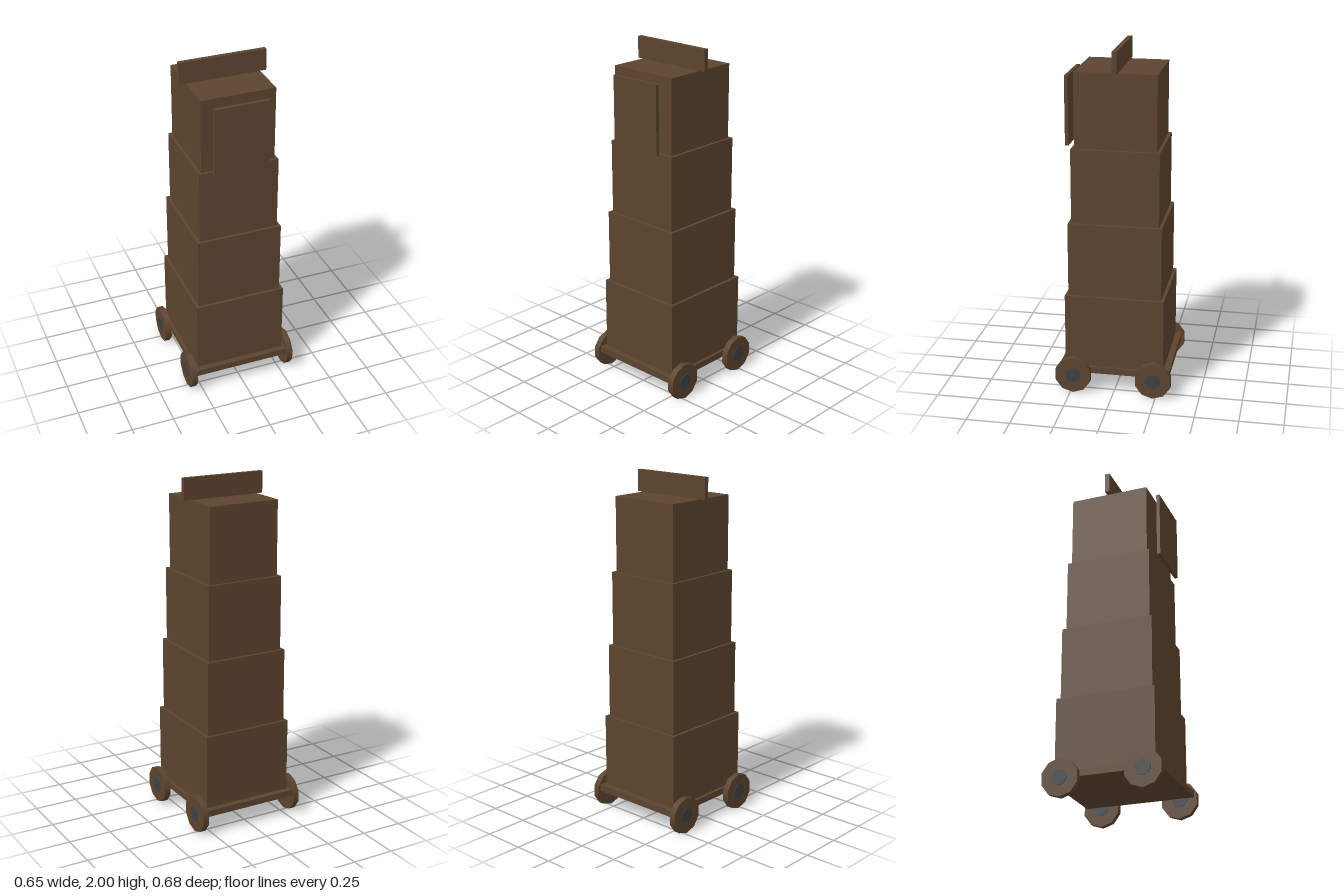
import * as THREE from 'three';

export function createModel() {
  const group = new THREE.Group();
  const wood = new THREE.MeshStandardMaterial({ color: 0x5c442e });
  wood.name = 'wood brown';
  const iron = new THREE.MeshStandardMaterial({ color: 0x3c4143 });
  iron.name = 'iron grey';

  const add = (name, geometry, material, x, y, z) => {
    const mesh = new THREE.Mesh(geometry, material);
    mesh.name = name;
    mesh.position.set(x, y, z);
    group.add(mesh);
    return mesh;
  };

  // Box given by its full width and depth and its bottom and top heights
  const box = (name, w, d, y0, y1, z = 0) =>
    add(name, new THREE.BoxGeometry(w, y1 - y0, d), wood, 0, (y0 + y1) / 2, z);

  // Wheeled platform
  box('platform', 0.574, 0.645, 0.114, 0.152);

  // Four storeys, each a little narrower than the one below
  const storey = 0.431;
  for (let i = 0; i < 4; i++) {
    const y = 0.152 + i * storey;
    box('storey' + (i + 1), 0.538 - i * 0.036, 0.574 - i * 0.036, y, y + storey);
  }

  // Beam across the roof, and the raised drawbridge standing off the front
  box('roofBeam', 0.502, 0.027, 1.876, 2);
  box('drawbridge', 0.323, 0.02, 1.446, 1.843, 0.286);

  // Ten-sided wheels with hubs showing on both faces
  const wheel = new THREE.CylinderGeometry(0.108, 0.108, 0.036, 10);
  const hub = new THREE.CylinderGeometry(0.0445, 0.0445, 0.043, 10);
  for (const g of [wheel, hub]) {
    g.rotateY(Math.PI / 2); // puts a corner at the top once the axle lies along x
    g.rotateZ(Math.PI / 2);
  }
  for (const sx of [-1, 1]) {
    for (const sz of [-1, 1]) {
      const label = (sz > 0 ? 'front' : 'back') + (sx > 0 ? 'Left' : 'Right');
      add(label + 'Wheel', wheel, wood, sx * 0.305, 0.108, sz * 0.235);
      add(label + 'Hub', hub, iron, sx * 0.305, 0.108, sz * 0.235);
    }
  }
  return group;
}
